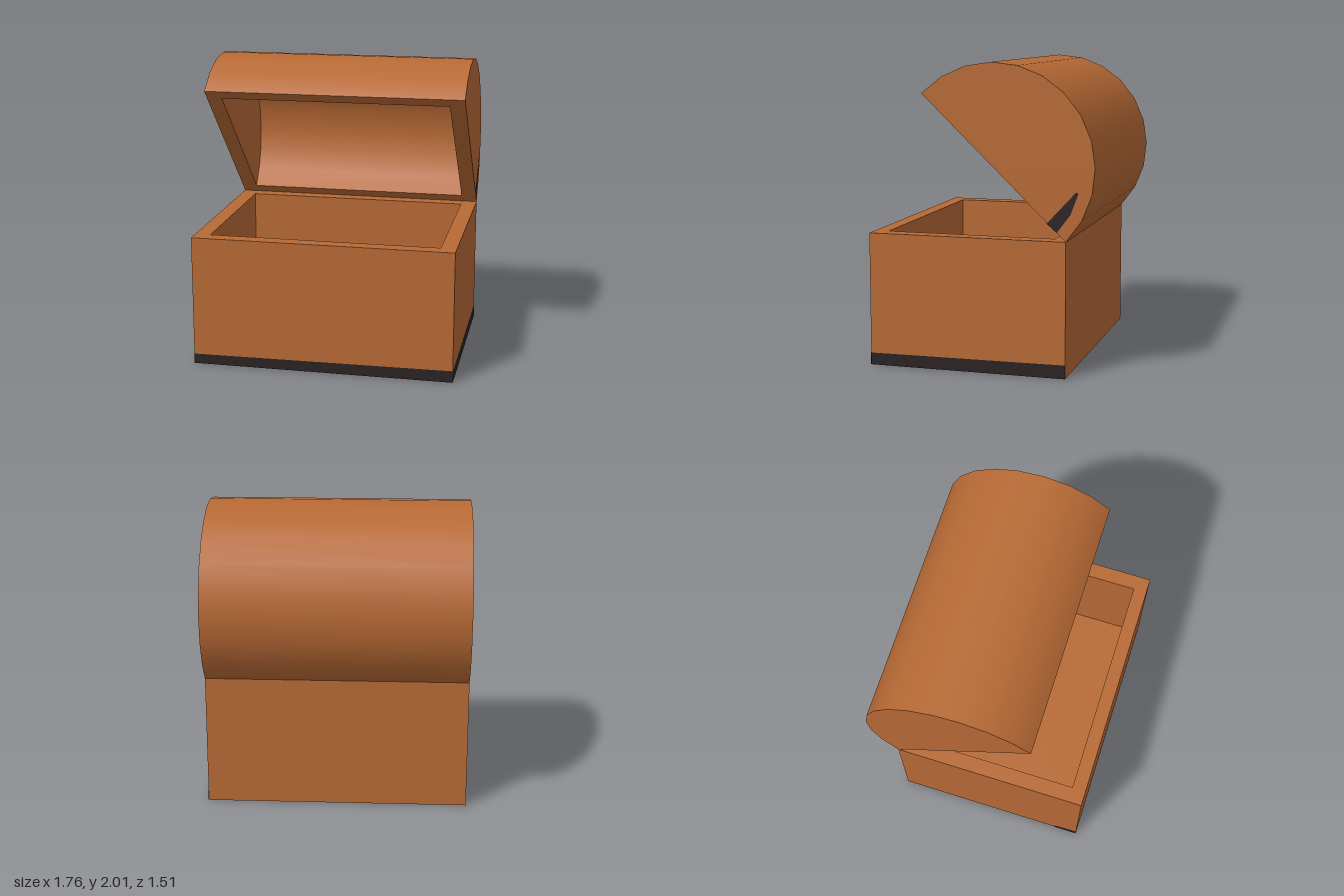
import * as THREE from 'three';

const W = 0.88, FRONT = 0.755, BACK = -0.57, H = 0.885;   // body extents
const R = (FRONT - BACK) / 2, MID = (FRONT + BACK) / 2;   // lid radius, body centre in z
const WALL = 0.105, FLOOR = 0.1, GAP = 0.002;

// Rectangular frame with an opening
function frameShape(w, d, iw, id) {
  const rect = (T, a, b) => {
    const p = new T();
    p.moveTo(-a, -b).lineTo(a, -b).lineTo(a, b).lineTo(-a, b).closePath();
    return p;
  };
  const s = rect(THREE.Shape, w, d);
  s.holes.push(rect(THREE.Path, iw, id));
  return s;
}

export function createModel() {
  const wood = new THREE.MeshStandardMaterial({ color: 0xb86a35, side: THREE.DoubleSide });
  wood.name = 'wood';
  const dark = new THREE.MeshStandardMaterial({ color: 0x2b2223, side: THREE.DoubleSide });
  dark.name = 'dark trim';

  const add = (parent, name, geometry, material) => {
    const mesh = new THREE.Mesh(geometry, material);
    mesh.name = name;
    parent.add(mesh);
    return mesh;
  };

  const model = new THREE.Group();
  model.name = 'chest';

  // Open body: four walls and a floor
  const body = new THREE.Group();
  body.name = 'body';
  model.add(body);
  const walls = new THREE.ExtrudeGeometry(
    frameShape(W, R, W - WALL, R - 0.095), { depth: H, bevelEnabled: false });
  walls.rotateX(-Math.PI / 2).translate(0, 0, MID);
  add(body, 'walls', walls, wood);
  const floor = new THREE.BoxGeometry(2 * (W - WALL), FLOOR, 2 * (R - 0.095));
  add(body, 'floor', floor.translate(0, FLOOR / 2, MID), wood);

  // Half-barrel lid, tilted back on the rear edge of the body
  const lid = new THREE.Group();
  lid.name = 'lid';
  const tilt = 0.767;
  lid.rotation.x = -tilt;
  lid.position.set(0, H + R * Math.sin(tilt), BACK + R * Math.cos(tilt));
  model.add(lid);
  const shells = [['lidOutside', R, W], ['lidInside', R - 0.08, W - WALL]];
  for (const [name, r, w] of shells) {
    const arch = new THREE.CylinderGeometry(r, r, 2 * w, 12, 1, true, 0, Math.PI);
    add(lid, name, arch.rotateZ(Math.PI / 2), wood);
    for (const side of [1, -1]) {
      const end = new THREE.CircleGeometry(r, 12, 0, Math.PI);
      // inner ends face into the lid
      const facing = name === 'lidInside' ? -side : side;
      end.rotateY(facing * Math.PI / 2).translate(side * w, 0, 0);
      add(lid, name + 'End', end, wood);
    }
  }
  const rim = new THREE.ShapeGeometry(frameShape(W, R, W - WALL, R - 0.08));
  add(lid, 'lidRim', rim.rotateX(Math.PI / 2), wood);

  // Flat painted trim; side outlines are given as [z, y]
  const plate = (points) => new THREE.ShapeGeometry(
    new THREE.Shape(points.map(([a, b]) => new THREE.Vector2(a, b))));
  const sidePlate = (points, side) => plate(points.map(([z, y]) => [-side * z, y]))
    .rotateY(side * Math.PI / 2).translate(side * (W + GAP), 0, 0);

  add(model, 'frontTrim',
    plate([[-W, 0], [W, 0], [W, 0.08], [-W, 0.067]]).translate(0, 0, FRONT + GAP), dark);
  add(model, 'leftTrim',
    sidePlate([[FRONT, 0], [BACK, 0], [BACK, 0.09], [FRONT, 0.08]], 1), dark);
  add(model, 'rightTrim',
    sidePlate([[FRONT, 0], [0.585, 0], [0.6, 0.05], [FRONT, 0.065]], -1), dark);
  add(model, 'lidTrim', sidePlate([[-0.446, 0.998], [-0.512, 0.942], [-0.6, 1.06],
    [-0.65, 1.193], [-0.637, 1.204]], 1), dark);

  return model;
}
